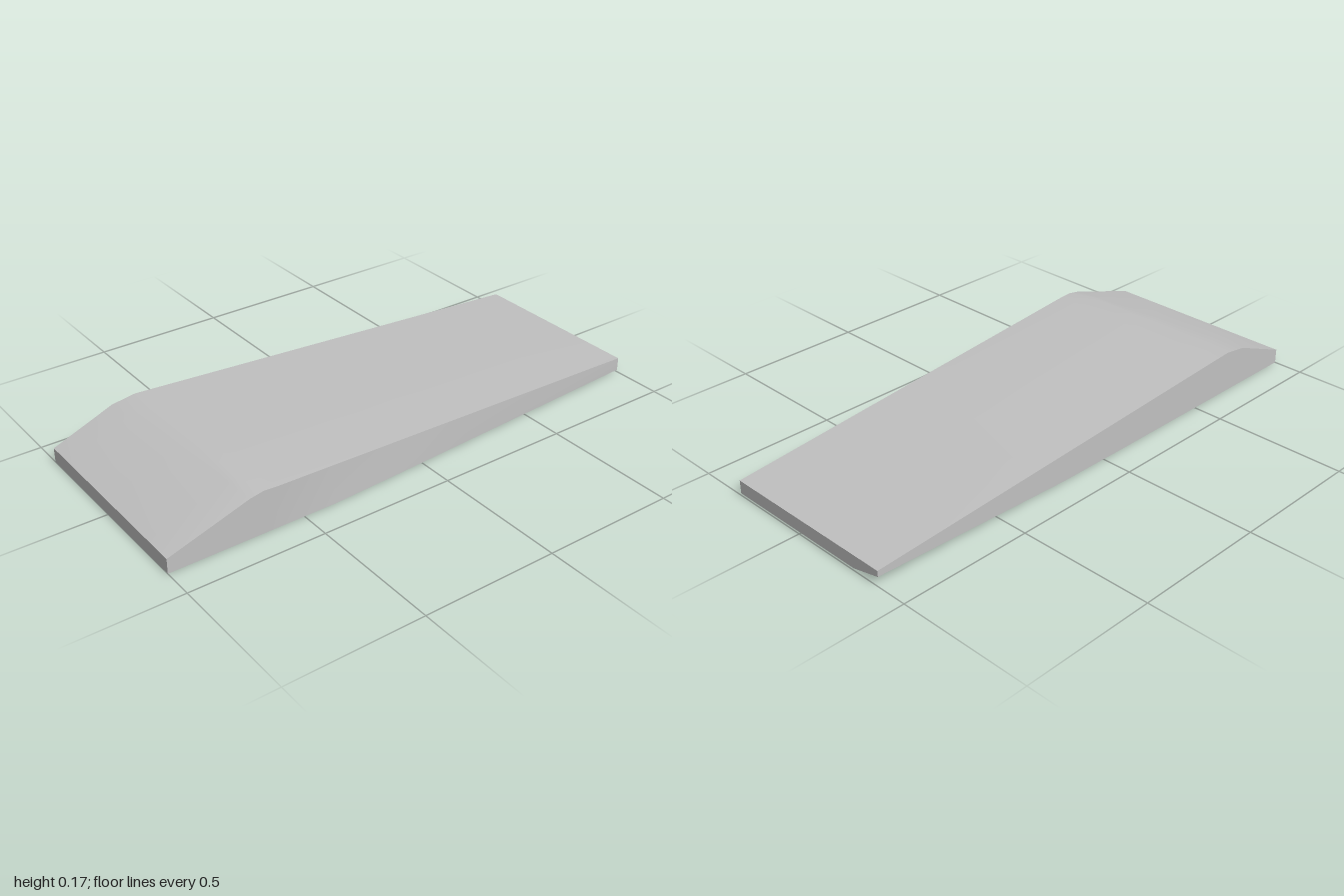
import * as THREE from 'three';
import { toCreasedNormals } from 'three/addons/utils/BufferGeometryUtils.js';

const { lerp } = THREE.MathUtils;
const W = 0.385; // half width
const inner = [-W, -0.27, 0, 0.27]; // fixed columns; the fifth follows the tapered side
const backY = 0.058;

// Tapering +x side: full width in front of z = start, narrowing to 0.31 at z = -1
const sideX = (z, start) => (z >= start ? W : lerp(W, 0.31, (start - z) / (start + 1)));

// Front slope, rounded crest, then a long straight fall to the thin back end
const breakZ = [0.77, 0.76, 0.74, 0.71, 0.70];
const breakY = [0.147, 0.149, 0.152, 0.156, 0.15];
const crestZ = [0.68, 0.68, 0.68, 0.68, 0.65];
const crestY = [0.16, 0.161, 0.163, 0.165, 0.159];
const fall = (z) => ({
  z: Array(5).fill(z),
  y: crestY.map((y, c) => lerp(y, backY, (crestZ[c] - z) / (crestZ[c] + 1))),
});
const rows = [
  { z: Array(5).fill(1), y: Array(5).fill(0.055) },
  { z: breakZ, y: breakY },
  { z: crestZ, y: crestY },
  ...[0.6, 0.38, 0.1, -0.2, -1].map(fall),
];

function wedgeGeometry() {
  const pos = [], index = [];
  const n = 10; // ring: five top points, then five bottom points back again
  rows.forEach(({ z, y }, r) => {
    for (let c = 0; c < 5; c++) pos.push(c < 4 ? inner[c] : sideX(z[c], 0.6), y[c], z[c]);
    for (let c = 4; c >= 0; c--) {
      // underside lifts slightly to the back, with one raised corner
      const raised = r === rows.length - 1 && c === 0;
      const by = raised ? 0.036 : 0.008 * Math.max(0, (0.1 - z[c]) / 1.1);
      pos.push(c < 4 ? inner[c] : sideX(z[c], 0.38), by, z[c]);
    }
  });
  // skin between neighbouring rings
  for (let r = 0; r < rows.length - 1; r++) {
    for (let i = 0; i < n; i++) {
      const a = r * n + i, b = r * n + (i + 1) % n;
      index.push(a, b, a + n, b, b + n, a + n);
    }
  }
  // front and back end faces
  const last = (rows.length - 1) * n;
  for (let c = 0; c < 4; c++) {
    const t0 = c, t1 = c + 1, b0 = 9 - c, b1 = 8 - c;
    index.push(b0, b1, t1, b0, t1, t0);
    index.push(last + b0, last + t1, last + b1, last + b0, last + t0, last + t1);
  }
  const g = new THREE.BufferGeometry();
  g.setAttribute('position', new THREE.Float32BufferAttribute(pos, 3));
  g.setIndex(index);
  return toCreasedNormals(g, 0.6);
}

export function createModel() {
  const group = new THREE.Group();
  group.name = 'wedge';
  const grey = new THREE.MeshStandardMaterial({ color: 0xc0c0c0 });
  grey.name = 'light grey';
  const body = new THREE.Mesh(wedgeGeometry(), grey);
  body.name = 'wedgeBody';
  group.add(body);
  return group;
}
